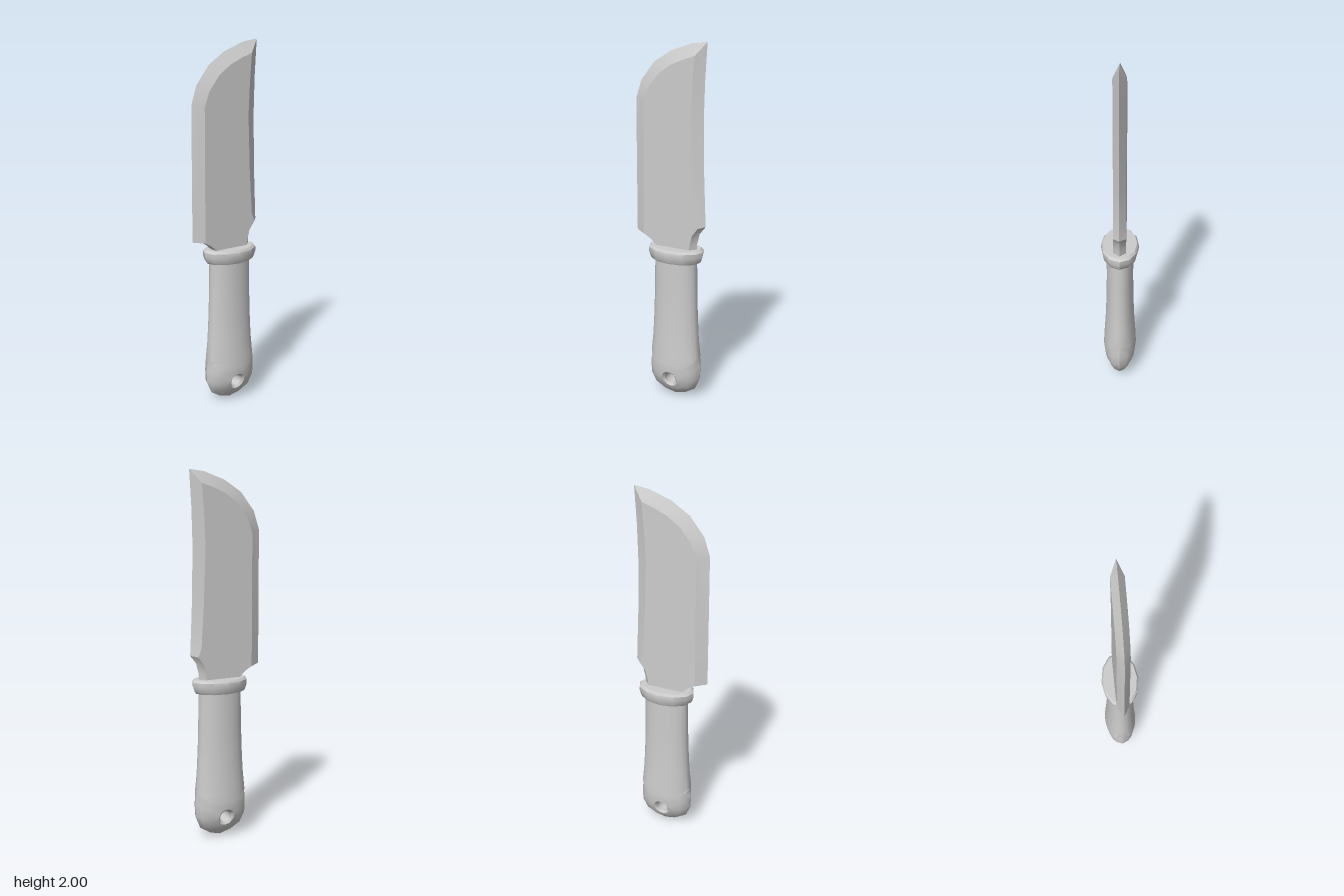
import * as THREE from 'three';
import { toCreasedNormals } from 'three/addons/utils/BufferGeometryUtils.js';

const CX = 0.03; // handle axis
const HOLE_Y = 0.12;

// Handle cross-sections: height, half width, half depth
const SECTIONS = [
  [0, 0, 0.004], [0.016, 0.06, 0.02], [0.055, 0.122, 0.058], [0.12, 0.15, 0.085],
  [0.19, 0.152, 0.093], [0.25, 0.148, 0.091], [0.36, 0.137, 0.083], [0.5, 0.13, 0.077],
  [0.65, 0.126, 0.074], [0.84, 0.123, 0.073],
];

function sectionAt(y) {
  let i = 1;
  while (i < SECTIONS.length - 1 && SECTIONS[i][0] < y) i++;
  const a = SECTIONS[i - 1], b = SECTIONS[i];
  const t = THREE.MathUtils.clamp((y - a[0]) / (b[0] - a[0]), 0, 1);
  return [a[1] + (b[1] - a[1]) * t, a[2] + (b[2] - a[2]) * t];
}

// Depth of the front handle surface at a point
function depthAt(x, y) {
  const [hx, hz] = sectionAt(y);
  if (hx < 1e-5) return 0;
  return hz * Math.sqrt(Math.max(0, 1 - ((x - CX) / hx) ** 2));
}

// Adds a triangle and its mirror image on the back
function addTri(out, a, b, c) {
  out.push(...a, ...b, ...c);
  for (const p of [a, c, b]) out.push(p[0], p[1], -p[2]);
}

// Joins columns of points into quads
function addGrid(out, cols, closed) {
  const n = cols.length;
  for (let i = 0; i < (closed ? n : n - 1); i++) {
    const p = cols[i], q = cols[(i + 1) % n];
    for (let j = 0; j < p.length - 1; j++) {
      addTri(out, p[j], p[j + 1], q[j + 1]);
      addTri(out, p[j], q[j + 1], q[j]);
    }
  }
}

function toGeometry(out, crease) {
  const g = new THREE.BufferGeometry();
  g.setAttribute('position', new THREE.Float32BufferAttribute(out, 3));
  return toCreasedNormals(g, crease);
}

function handleGeometry() {
  const out = [], N = 10;
  const upper = SECTIONS.filter((s) => s[0] >= 0.25);
  const angles = Array.from({ length: N + 1 }, (_, i) => (i / N) * Math.PI);

  // Grip above the hole
  addGrid(out, angles.map((a) => upper.map(([y, hx, hz]) =>
    [CX + hx * Math.cos(a), y, i0(hz * Math.sin(a))])), false);

  // Butt: rays from the hole to the outline
  const lower = SECTIONS.filter((s) => s[0] < 0.25);
  const rim = angles.map((a) => [CX + upper[0][1] * Math.cos(a), 0.25]);
  for (let i = lower.length - 1; i >= 0; i--) rim.push([CX - lower[i][1], lower[i][0]]);
  for (let i = 1; i < lower.length; i++) rim.push([CX + lower[i][1], lower[i][0]]);
  const cols = rim.map(([bx, by], k) => {
    const dx = bx - CX, dy = by - HOLE_Y, len = Math.hypot(dx, dy);
    const at = (r) => [CX + (dx / len) * r, HOLE_Y + (dy / len) * r];
    const [ix, iy] = at(0.034), [ox, oy] = at(0.047);
    const col = [[ix, iy, 0], [ix, iy, depthAt(ix, iy) - 0.014], [ox, oy, depthAt(ox, oy)]];
    for (const t of [0.3, 0.6, 0.85]) {
      const [x, y] = at(0.047 + (len - 0.047) * t);
      col.push([x, y, depthAt(x, y)]);
    }
    col.push([bx, by, k <= N ? i0(upper[0][2] * Math.sin(angles[k])) : 0]);
    return col;
  });
  addGrid(out, cols, true);
  return toGeometry(out, 0.75);
}

// Snaps tiny values to zero so the halves meet
function i0(v) { return Math.abs(v) < 1e-6 ? 0 : v; }

function bladeGeometry() {
  // Outer x, y on the centre plane, then inner x, y on the flat face
  const pairs = [
    [0.155, 0.86, 0.122, 0.86], [0.157, 0.92, 0.128, 0.92], [0.172, 0.98, 0.143, 0.975],
    [0.207, 1.025, 0.175, 1.018], [0.206, 1.04, 0.156, 1.065], [0.195, 1.3, 0.141, 1.3],
    [0.189, 1.6, 0.13, 1.6], [0.194, 1.8, 0.138, 1.78], [0.206, 2, 0.15, 1.93],
    [0.12, 1.988, 0.09, 1.91], [0, 1.945, 0.01, 1.875], [-0.1, 1.88, -0.06, 1.825],
    [-0.178, 1.78, -0.122, 1.745], [-0.21, 1.68, -0.15, 1.665], [-0.21, 0.95, -0.15, 0.942],
    [-0.15, 0.938, -0.145, 0.94], [-0.11, 0.915, -0.106, 0.917], [-0.08, 0.885, -0.076, 0.888],
    [-0.07, 0.86, -0.066, 0.86],
  ];
  const Z = 0.034, out = [];
  addGrid(out, pairs.map(([ox, oy, ix, iy]) => [[ix, iy, Z], [ox, oy, 0]]), true);
  const inner = pairs.map((p) => new THREE.Vector2(p[2], p[3]));
  for (const f of THREE.ShapeUtils.triangulateShape(inner, [])) {
    addTri(out, ...f.map((k) => [inner[k].x, inner[k].y, Z]));
  }
  return toGeometry(out, 0.42);
}

function guardGeometry() {
  const profile = [[0, 0.815], [0.143, 0.815], [0.151, 0.825], [0.161, 0.855], [0.161, 0.878],
    [0.147, 0.89], [0, 0.89]].map(([r, y]) => new THREE.Vector2(r, y));
  const g = new THREE.LatheGeometry(profile, 12);
  g.scale(1, 1, 0.64);
  g.translate(CX, 0, 0);
  return toCreasedNormals(g, 0.7);
}

export function createModel() {
  const group = new THREE.Group();
  group.name = 'knife';
  const grey = new THREE.MeshStandardMaterial({ color: 0xcccccc });
  grey.name = 'light grey';
  const parts = { blade: bladeGeometry(), guard: guardGeometry(), handle: handleGeometry() };
  for (const [name, geometry] of Object.entries(parts)) {
    const mesh = new THREE.Mesh(geometry, grey);
    mesh.name = name;
    group.add(mesh);
  }
  return group;
}
